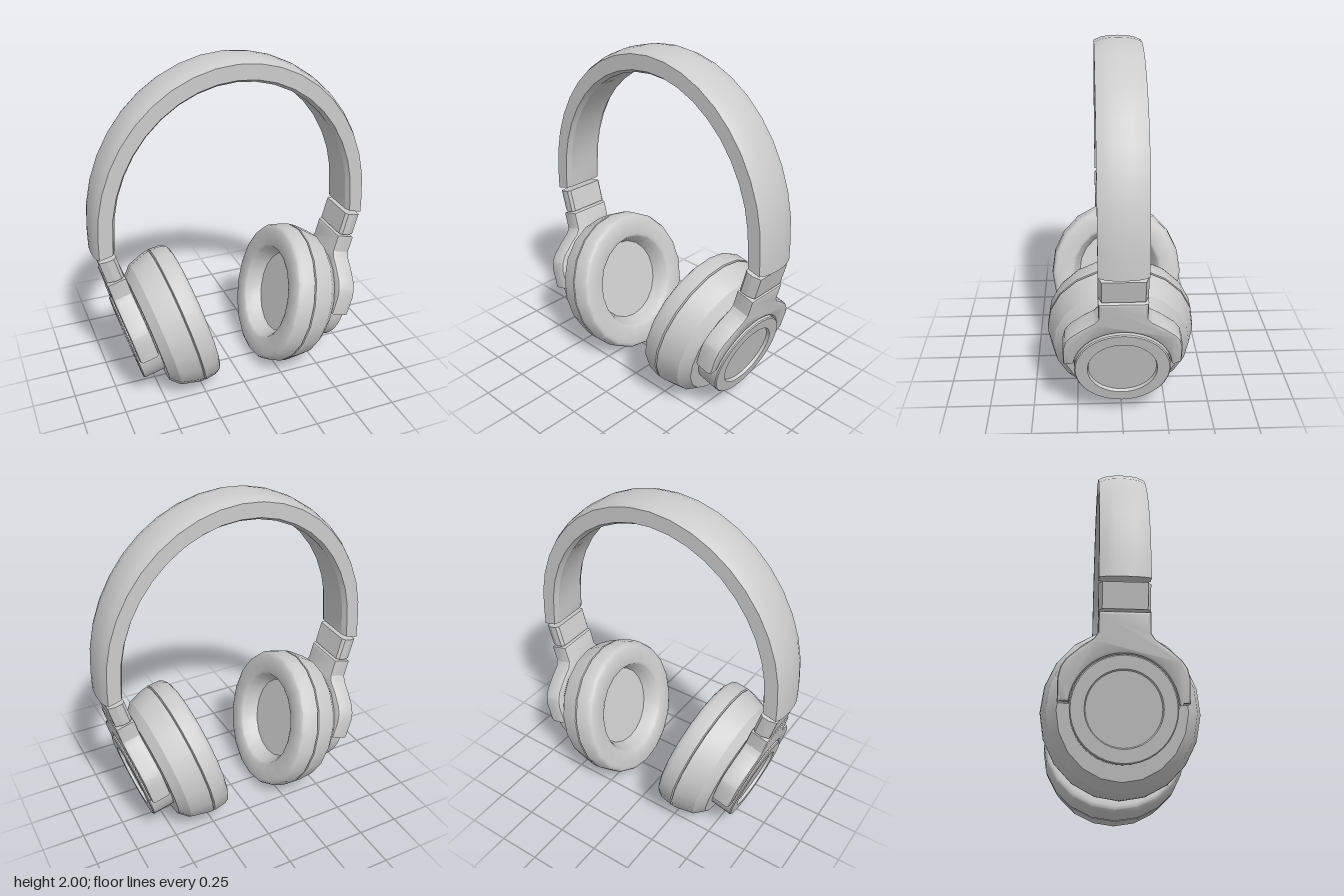
import * as THREE from 'three';
import { toCreasedNormals } from 'three/addons/utils/BufferGeometryUtils.js';

const material = new THREE.MeshStandardMaterial({ color: 0xcccccc });
const TILT = THREE.MathUtils.degToRad(15);

function part(name, geometry, crease = 0.6) {
  const mesh = new THREE.Mesh(toCreasedNormals(geometry, crease), material);
  mesh.name = name;
  return mesh;
}

// Turned part whose axis is local x; profile points are [radius, x]
function turned(name, profile, sides, crease) {
  const points = profile.map(([r, x]) => new THREE.Vector2(r, x));
  return part(name, new THREE.LatheGeometry(points, sides).rotateZ(-Math.PI / 2), crease);
}

// Arched band: a rounded section swept between an inner and an outer ellipse
function headband() {
  const half = [[0.14, 0.13], [0.8, 0.13], [0.93, 0.09], [0.98, 0.05]];
  const section = [
    [0, -0.1], ...half.map(([f, z]) => [f, -z]), [1, 0],
    ...half.slice().reverse(), [0, 0.1],
  ];
  const stations = [];
  const steps = 20;
  for (let i = 0; i <= steps; i++) {
    const a = (Math.PI * i) / steps, c = Math.cos(a), s = Math.sin(a);
    stations.push([0.706 * c, 1.08 + 0.79 * s, 0.826 * c, 1.08 + 0.92 * s]);
  }
  // Slanted ends facing the sliders
  stations.unshift([0.712, 0.997, 0.826, 0.967]);
  stations.push([-0.712, 0.997, -0.826, 0.967]);

  const position = [], index = [], n = section.length;
  for (const [xi, yi, xo, yo] of stations)
    for (const [f, z] of section) position.push(xi + (xo - xi) * f, yi + (yo - yi) * f, z);
  for (let i = 0; i < stations.length - 1; i++)
    for (let j = 0; j < n; j++) {
      const a = i * n + j, b = i * n + ((j + 1) % n);
      index.push(a, a + n, b, b, a + n, b + n);
    }
  const last = (stations.length - 1) * n;
  for (let j = 1; j < n - 1; j++) index.push(0, j, j + 1, last, last + j + 1, last + j);
  const geometry = new THREE.BufferGeometry();
  geometry.setAttribute('position', new THREE.Float32BufferAttribute(position, 3));
  geometry.setIndex(index);
  return part('headband', geometry, 0.5);
}

// Chamfered block between headband and yoke
function slider() {
  const side = [[0.319, 0.115], [0.335, 0.13], [0.375, 0.13], [0.417, 0.112]];
  const outline = [...side, ...side.slice().reverse().map(([x, z]) => [x, -z])];
  const shape = new THREE.Shape(outline.map(([x, z]) => new THREE.Vector2(x, z)));
  const geometry = new THREE.ExtrudeGeometry(shape, { depth: 0.136, bevelEnabled: false });
  geometry.rotateX(-Math.PI / 2).translate(0, 0.486, 0);
  return part('slider', geometry, 0.3);
}

// Forked bracket: a neck that widens into two arms around the hub
function yoke() {
  const side = [[0.32, 0.03], [0.32, 0.15], [0.307, 0.2], [0.28, 0.24], [0.215, 0.295], [0.15, 0.34], [0.13, 0.37], [0.13, 0.475]];
  const shape = new THREE.Shape();
  shape.moveTo(0.263, 0.03);
  side.forEach(([z, y]) => shape.lineTo(z, y));
  side.slice().reverse().forEach(([z, y]) => shape.lineTo(-z, y));
  const start = Math.asin(0.03 / 0.265);
  shape.absarc(0, 0, 0.265, Math.PI - start, start, true);
  const bevel = 0.016;
  const geometry = new THREE.ExtrudeGeometry(shape, {
    depth: 0.115 - 2 * bevel, curveSegments: 24,
    bevelThickness: bevel, bevelSize: bevel, bevelOffset: -bevel, bevelSegments: 2,
  });
  geometry.rotateY(Math.PI / 2).translate(0.31 + bevel, 0, 0);
  return part('yoke', geometry, 0.5);
}

// One ear: local x points outward along the cup axis, local y up the arm
function earpiece(name) {
  const ear = new THREE.Group();
  ear.name = name;
  const cushion = turned('earCushion', [
    [0, 0.1], [0.235, 0.1], [0.25, 0.06], [0.275, 0.008], [0.29, 0], [0.38, 0], [0.398, 0.01],
    [0.41, 0.035], [0.414, 0.108], [0.4, 0.114], [0, 0.114],
  ], 20, 0.65);
  const shell = turned('earShell', [
    [0, 0.112], [0.4, 0.112], [0.413, 0.118], [0.408, 0.15], [0.378, 0.25], [0.325, 0.303], [0, 0.303],
  ], 20, 0.45);
  // Cups are slightly taller than wide
  for (const cup of [cushion, shell]) cup.scale.y = 1.06;
  const hub = turned('hub', [
    [0, 0.29], [0.262, 0.29], [0.262, 0.43], [0.256, 0.436], [0.19, 0.436], [0.185, 0.418], [0, 0.418],
  ], 40, 0.6);
  ear.add(cushion, shell, hub, yoke(), slider());
  ear.position.set(0.24, 0.455, 0);
  ear.rotation.z = -TILT;
  return ear;
}

export function createModel() {
  const model = new THREE.Group();
  model.name = 'headphones';
  model.add(headband());
  // The second ear is the first turned half way round
  ['left', 'right'].forEach((side, i) => {
    const pivot = new THREE.Group();
    pivot.name = side + 'Side';
    pivot.add(earpiece(side + 'Earpiece'));
    pivot.rotation.y = i * Math.PI;
    model.add(pivot);
  });
  return model;
}
